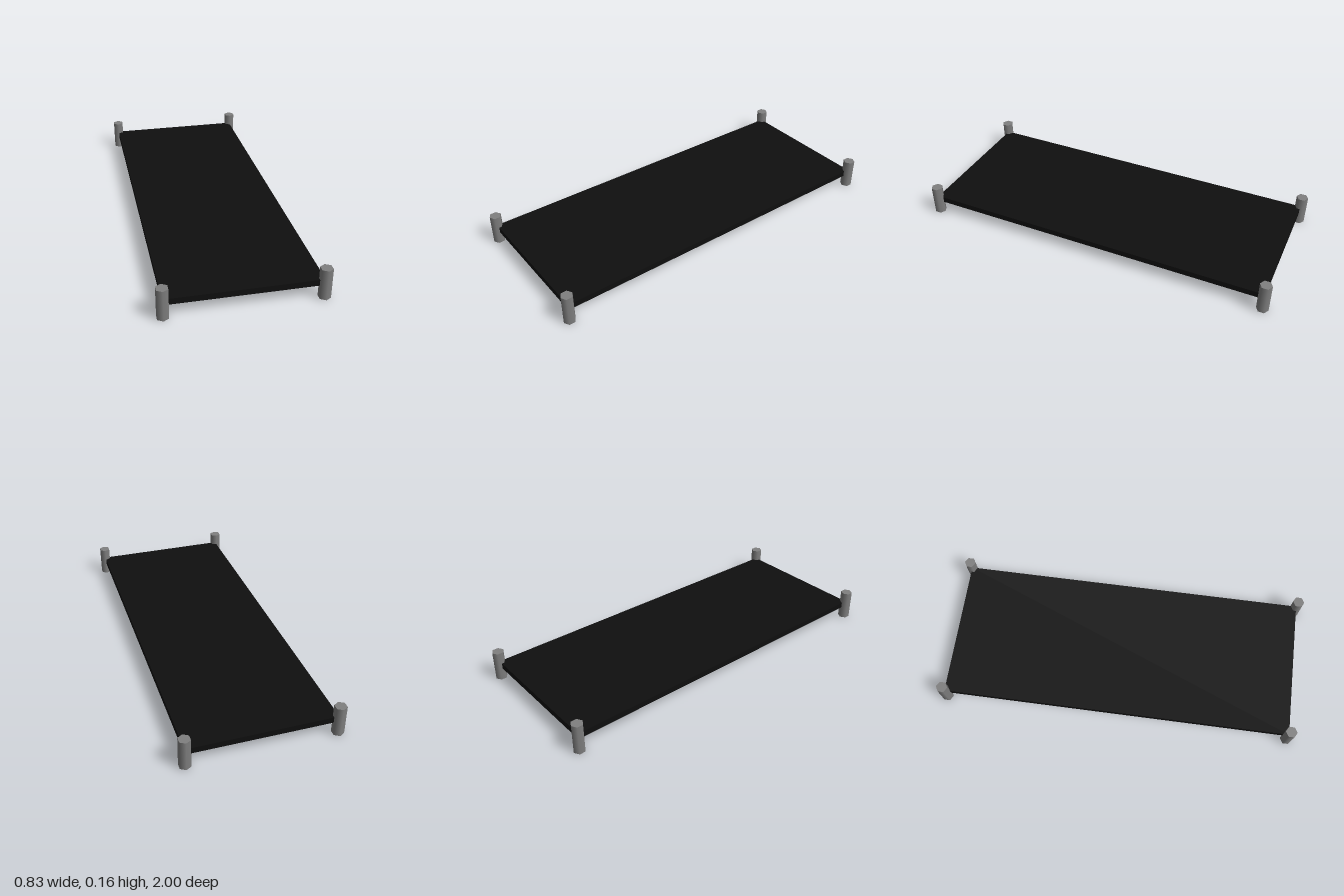
import * as THREE from 'three';

const POST_X = 0.387, POST_Z = 0.968, POST_R = 0.032, POST_H = 0.163;

export function createModel() {
  const model = new THREE.Group();
  model.name = 'postedPlatform';
  const dark = new THREE.MeshStandardMaterial({ color: 0x0f0f0f });
  const grey = new THREE.MeshStandardMaterial({ color: 0x808080 });

  // Thin deck reaching the post centres
  const deck = new THREE.Mesh(new THREE.BoxGeometry(POST_X * 2, 0.032, POST_Z * 2), dark);
  deck.name = 'deck';
  deck.position.y = 0.082;
  model.add(deck);

  // Smooth-shaded six-sided corner posts, with an edge pointing along z
  const postGeometry = new THREE.CylinderGeometry(POST_R, POST_R, POST_H, 6);
  for (const [end, sz] of [['front', 1], ['back', -1]]) {
    for (const [side, sx] of [['Left', 1], ['Right', -1]]) {
      const post = new THREE.Mesh(postGeometry, grey);
      post.name = `${end}${side}Post`;
      post.position.set(sx * POST_X, POST_H / 2, sz * POST_Z);
      model.add(post);
    }
  }
  return model;
}
